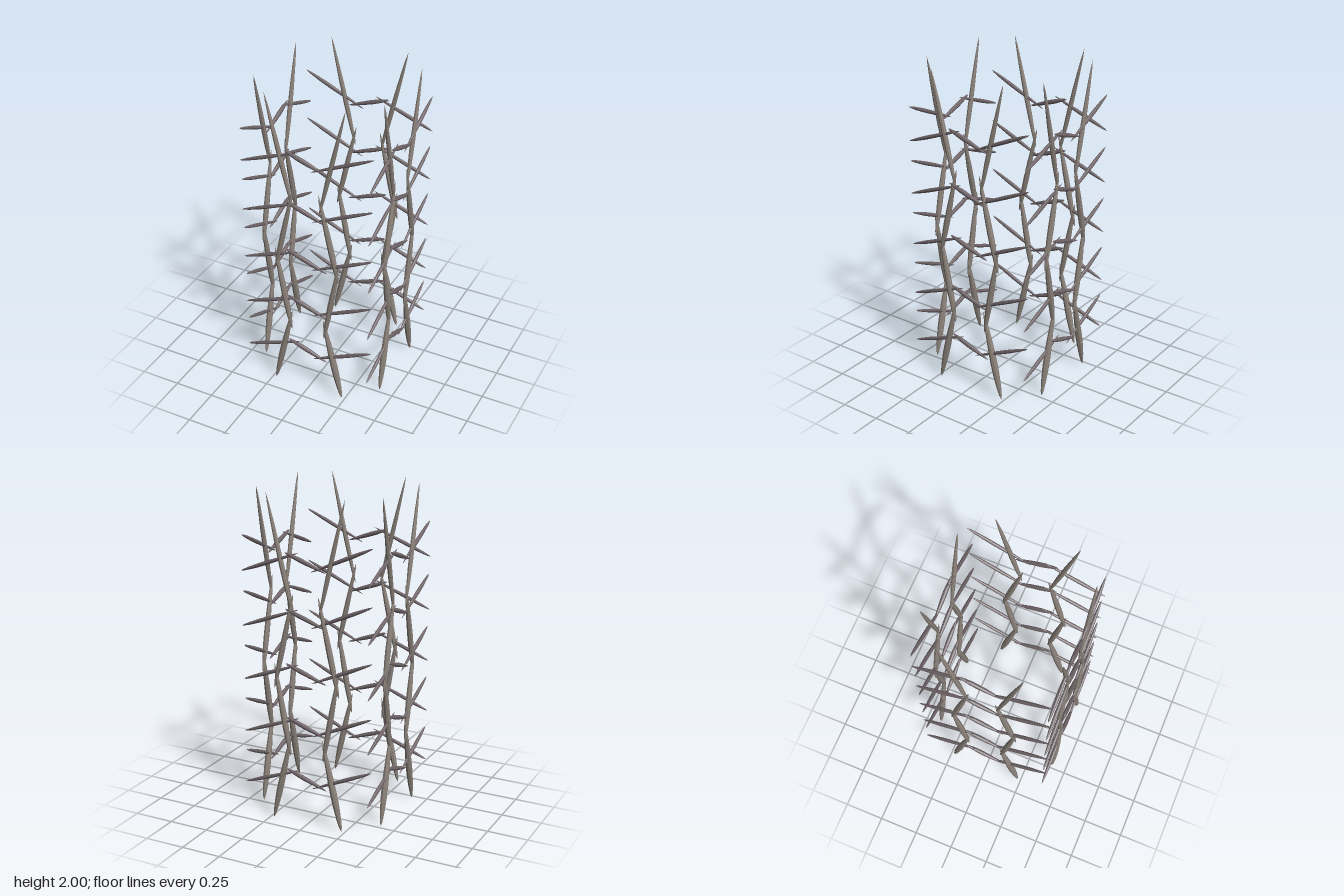
import * as THREE from 'three';

const HALF = 0.405; // distance from the centre to each side of the cage

const poleMaterial = new THREE.MeshStandardMaterial({ color: 0x8a8179, flatShading: true });
const stickMaterial = new THREE.MeshStandardMaterial({ color: 0x6e6366, flatShading: true });

// Radius of a splinter along its length: [fraction of length, fraction of radius]
const PROFILE = [[0, 0], [0.05, 0.42], [0.15, 0.72], [0.3, 0.95], [0.42, 1], [0.6, 0.9], [0.8, 0.62], [0.93, 0.34], [1, 0]];

// Pointed splinter running from a to b in the plane of one side
function splinter(name, a, b, radius, material) {
  const from = new THREE.Vector3(a[0], a[1], 0);
  const dir = new THREE.Vector3(b[0], b[1], 0).sub(from);
  const length = dir.length();
  const points = PROFILE.map(([t, r]) => new THREE.Vector2(r * radius, t * length));
  const mesh = new THREE.Mesh(new THREE.LatheGeometry(points, 8), material);
  mesh.name = name;
  mesh.position.copy(from);
  mesh.quaternion.setFromUnitVectors(new THREE.Vector3(0, 1, 0), dir.normalize());
  return mesh;
}

// Zigzag pole of four overlapping splinters: start, end, radius
const POLE = [
  [[0.23, 0], [0.103, 0.56], 0.021],
  [[0.108, 0.42], [0.212, 1.0], 0.019],
  [[0.212, 0.84], [0.08, 1.43], 0.018],
  [[0.085, 1.3], [0.25, 2.0], 0.015],
];

// Zigzag rung of three splinters, heights measured from the rung's low end
const RUNG = [
  ['leftStick', [-0.425, 0], [-0.045, 0.145], 0.012],
  ['middleStick', [-0.135, 0.14], [0.135, 0.045], 0.014],
  ['rightStick', [0.425, 0.22], [0.03, 0.04], 0.012],
];

function createSide() {
  const side = new THREE.Group();
  side.name = 'side';

  // Mirrored pair of upright poles
  for (const s of [-1, 1]) {
    const pole = new THREE.Group();
    pole.name = s > 0 ? 'leftPole' : 'rightPole';
    for (const [a, b, r] of POLE) {
      pole.add(splinter('poleSegment', [a[0] * s, a[1]], [b[0] * s, b[1]], r, poleMaterial));
    }
    side.add(pole);
  }

  // Five rungs lashed across the poles
  for (let i = 0; i < 5; i++) {
    const rung = new THREE.Group();
    rung.name = 'rung';
    rung.position.y = 0.197 + i * 0.332;
    for (const [name, a, b, r] of RUNG) rung.add(splinter(name, a, b, r, stickMaterial));
    side.add(rung);
  }
  return side;
}

export function createModel() {
  const model = new THREE.Group();
  model.name = 'stickCage';

  // The same side repeated around the square
  for (let k = 0; k < 4; k++) {
    const side = createSide();
    const angle = k * Math.PI / 2;
    side.rotation.y = angle;
    side.position.set(Math.sin(angle) * HALF, 0, Math.cos(angle) * HALF);
    model.add(side);
  }
  return model;
}
